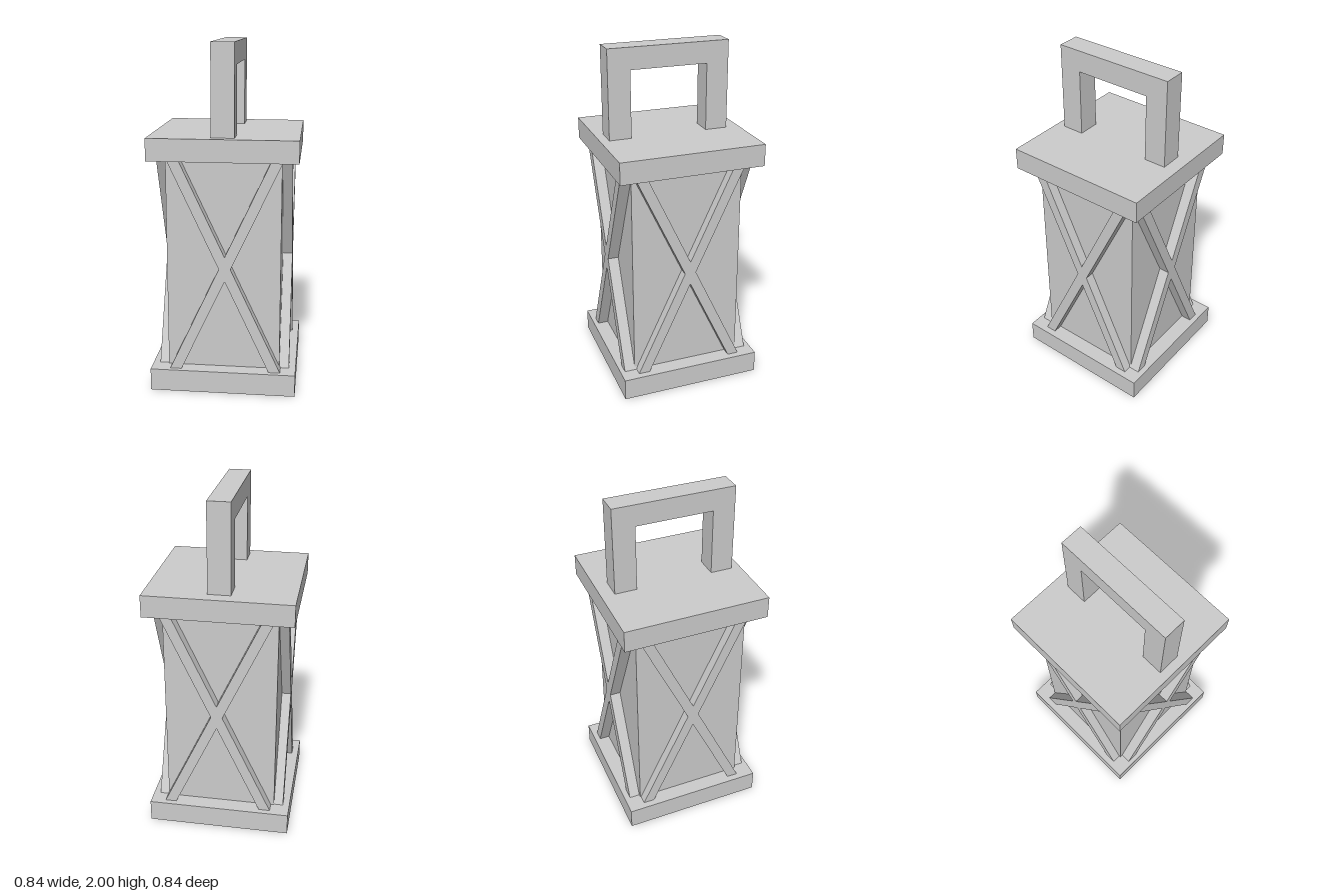
import * as THREE from 'three';

const material = new THREE.MeshStandardMaterial({ color: 0xcccccc, flatShading: true });

// Box given by its minimum and maximum corners
function box(name, min, max) {
  const size = max.map((v, i) => v - min[i]);
  const mesh = new THREE.Mesh(new THREE.BoxGeometry(...size), material);
  mesh.position.set(...max.map((v, i) => (v + min[i]) / 2));
  mesh.name = name;
  return mesh;
}

// Slanted bar whose ends run a little way into the base and the lid
function crossBar(direction, depth) {
  const bottom = 0.1, top = 1.39, halfWidth = 0.033;
  const lean = direction * 0.287 * (top - bottom) / 1.23;
  const shape = new THREE.Shape([
    new THREE.Vector2(-lean - halfWidth, bottom),
    new THREE.Vector2(-lean + halfWidth, bottom),
    new THREE.Vector2(lean + halfWidth, top),
    new THREE.Vector2(lean - halfWidth, top),
  ]);
  const geometry = new THREE.ExtrudeGeometry(shape, { depth, bevelEnabled: false });
  const mesh = new THREE.Mesh(geometry, material);
  mesh.name = 'crossBar';
  return mesh;
}

export function createModel() {
  const model = new THREE.Group();
  model.name = 'lantern';

  // Base, body and lid
  model.add(box('base', [-0.42, 0, -0.42], [0.42, 0.13, 0.42]));
  model.add(box('body', [-0.327, 0.12, -0.325], [0.325, 1.37, 0.33]));
  model.add(box('lid', [-0.42, 1.36, -0.42], [0.42, 1.487, 0.42]));

  // Square handle running front to back
  const handle = new THREE.Group();
  handle.name = 'handle';
  handle.add(box('frontPost', [-0.065, 1.48, 0.238], [0.065, 1.875, 0.368]));
  handle.add(box('backPost', [-0.065, 1.48, -0.342], [0.065, 1.875, -0.212]));
  handle.add(box('grip', [-0.065, 1.875, -0.342], [0.065, 2, 0.368]));
  model.add(handle);

  // Crossed bars on all four sides: name, turn, outer distance, x shift
  const sides = [
    ['frontCross', 0, 0.393, 0.012],
    ['leftCross', Math.PI / 2, 0.381, 0],
    ['backCross', Math.PI, 0.387, 0.012],
    ['rightCross', -Math.PI / 2, 0.381, 0],
  ];
  for (const [name, turn, outer, shift] of sides) {
    const cross = new THREE.Group();
    cross.name = name;
    for (const direction of [-1, 1]) {
      const bar = crossBar(direction, outer - 0.31);
      bar.position.z = 0.31;
      cross.add(bar);
    }
    cross.rotation.y = turn;
    cross.position.x = shift;
    model.add(cross);
  }
  return model;
}
